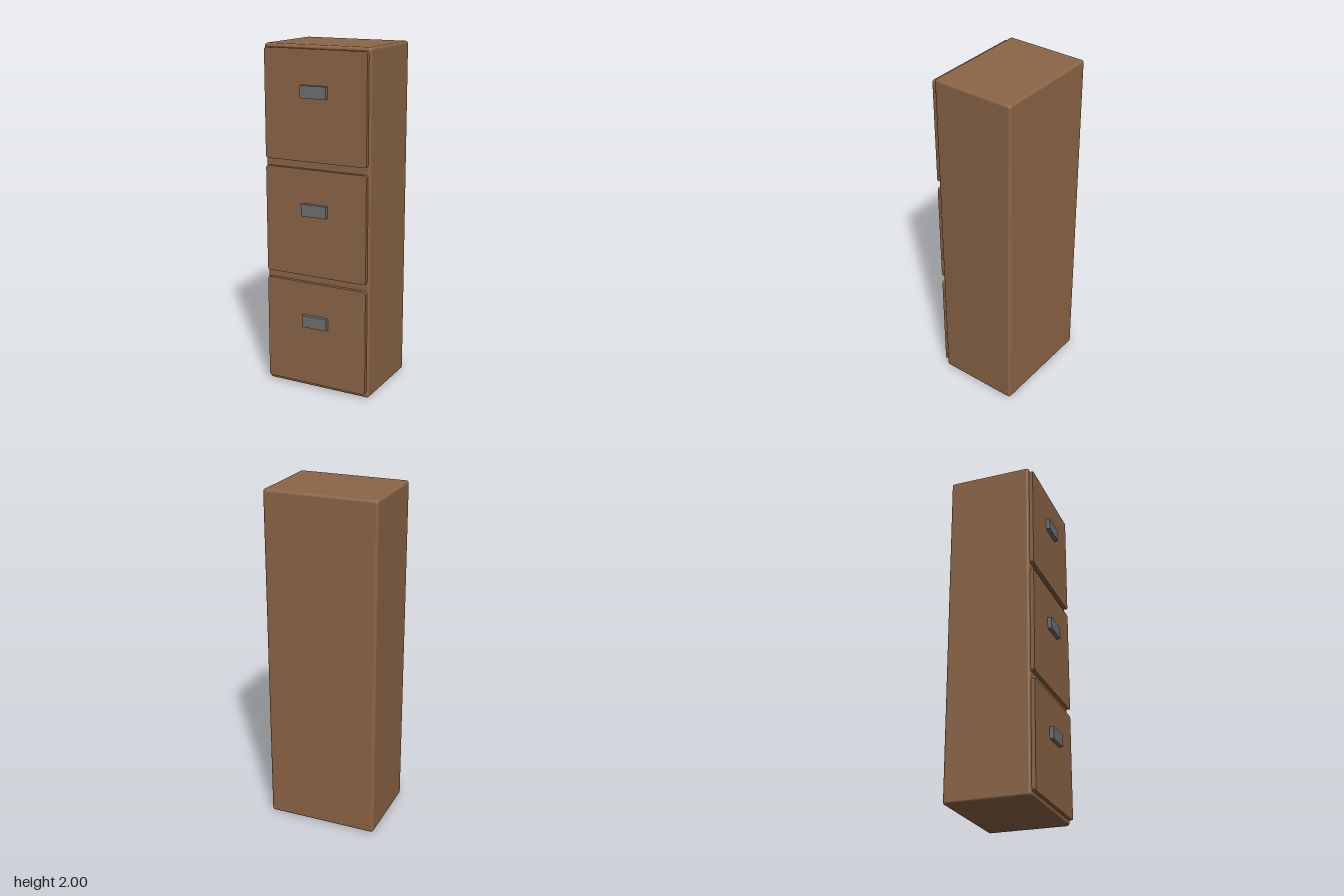
import * as THREE from 'three';
import { RoundedBoxGeometry } from 'three/addons/geometries/RoundedBoxGeometry.js';

// Rounded rectangle outline centred on the origin
function roundedRect(w, h, r) {
  const x = w / 2, y = h / 2;
  const s = new THREE.Shape();
  s.absarc(x - r, y - r, r, 0, Math.PI / 2);
  s.absarc(-x + r, y - r, r, Math.PI / 2, Math.PI);
  s.absarc(-x + r, -y + r, r, Math.PI, Math.PI * 1.5);
  s.absarc(x - r, -y + r, r, Math.PI * 1.5, Math.PI * 2);
  return s;
}

export function createModel() {
  const wood = new THREE.MeshStandardMaterial({ color: 0x8c6546 });
  wood.name = 'brown wood';
  const metal = new THREE.MeshStandardMaterial({ color: 0x707070 });
  metal.name = 'grey metal';

  const model = new THREE.Group();
  model.name = 'filingCabinet';

  const add = (parent, name, geometry, material, x, y, z) => {
    const mesh = new THREE.Mesh(geometry, material);
    mesh.name = name;
    mesh.position.set(x, y, z);
    parent.add(mesh);
  };

  // Cabinet body with softened edges
  add(model, 'cabinetBody', new RoundedBoxGeometry(0.658, 2, 0.492, 4, 0.016), wood, 0, 1, -0.023);

  // Three drawers, each a rounded panel with a bar handle
  const panel = new THREE.ExtrudeGeometry(roundedRect(0.633, 0.622, 0.015), {
    depth: 0.03, bevelEnabled: false, curveSegments: 6,
  });
  const bar = new THREE.BoxGeometry(0.158, 0.07, 0.024);
  ['bottom', 'middle', 'top'].forEach((level, i) => {
    const drawer = new THREE.Group();
    drawer.name = `${level}Drawer`;
    drawer.position.y = 0.339 + i * 0.665;
    add(drawer, `${level}DrawerFront`, panel, wood, 0, 0, 0.215);
    add(drawer, `${level}DrawerHandle`, bar, metal, 0, 0.08, 0.257);
    model.add(drawer);
  });

  return model;
}
